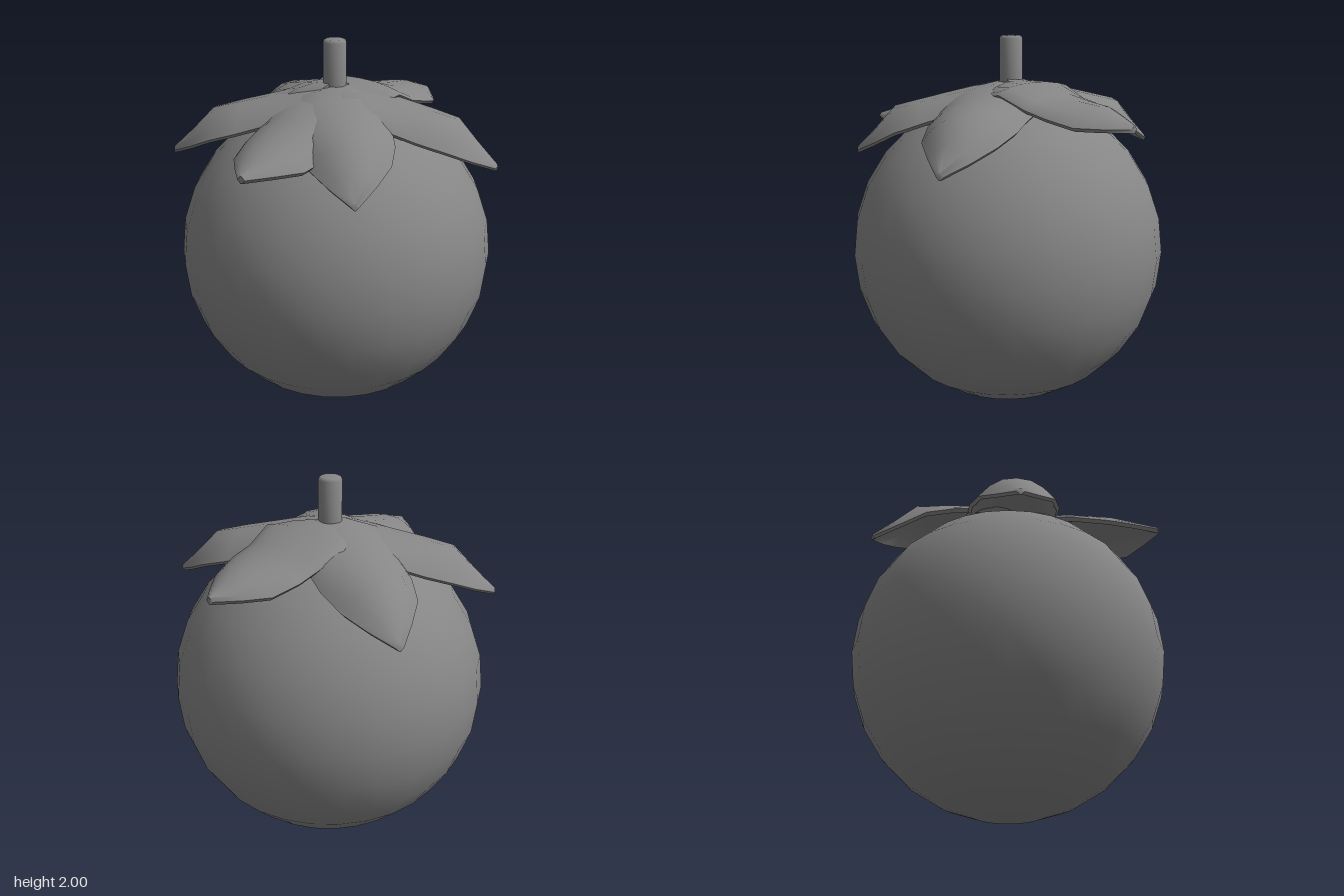
import * as THREE from 'three';
import { toCreasedNormals } from 'three/addons/utils/BufferGeometryUtils.js';

const material = new THREE.MeshStandardMaterial({ color: 0x868686 });

// Leaf outline: distance from the stem and half width at each station
const along = [-0.02, 0.08, 0.2, 0.36, 0.49, 0.64, 0.75, 0.86];
const half = [0.12, 0.25, 0.27, 0.245, 0.24, 0.2, 0.115, 0.02];

// Heights of the midrib and of the rims at each station
const drooping = {
  mid: [1.77, 1.755, 1.735, 1.7, 1.67, 1.635, 1.52, 1.415],
  rim: [1.72, 1.71, 1.67, 1.62, 1.58, 1.53, 1.47, 1.415],
};
const raised = {
  mid: [1.76, 1.77, 1.765, 1.715, 1.69, 1.675, 1.64, 1.6],
  rim: [1.72, 1.715, 1.735, 1.67, 1.64, 1.605, 1.6, 1.6],
};
const low = {
  mid: [1.7, 1.72, 1.725, 1.68, 1.645, 1.61, 1.57, 1.535],
  rim: [1.65, 1.65, 1.65, 1.6, 1.565, 1.535, 1.535, 1.535],
};

// Closed thick leaf with a rounded rim, from cross-section loops; the tip points at (x, z)
function leafGeometry(x, z, { mid, rim }, lift) {
  const length = Math.hypot(x, z);
  const dx = x / length, dz = z / length, stretch = length / 0.86;
  const across = [-1, -0.75, -0.4, 0, 0.4, 0.75, 1];
  const thickness = 0.036, inset = 0.016;
  const ring = 2 * across.length + 2, rows = along.length;
  const positions = [], index = [];
  along.forEach((a, row) => {
    const put = (u, width, drop) => {
      const s = a * stretch, w = u * width;
      const y = mid[row] + (rim[row] - mid[row]) * Math.abs(u) ** 2.4 + lift - drop;
      positions.push(dx * s - dz * w, y, dz * s + dx * w);
    };
    const face = half[row] - inset;
    across.forEach((u) => put(u, face, 0));
    put(1, half[row], thickness / 2);
    [...across].reverse().forEach((u) => put(u, face, thickness));
    put(-1, half[row], thickness / 2);
  });
  for (let r = 0; r < rows - 1; r++) {
    for (let i = 0; i < ring; i++) {
      const a = r * ring + i, b = r * ring + (i + 1) % ring;
      index.push(a, b, a + ring, b, b + ring, a + ring);
    }
  }
  // End caps
  const last = (rows - 1) * ring;
  for (let i = 1; i < ring - 1; i++) {
    index.push(0, i + 1, i, last, last + i, last + i + 1);
  }
  const geometry = new THREE.BufferGeometry();
  geometry.setAttribute('position', new THREE.Float32BufferAttribute(positions, 3));
  geometry.setIndex(index);
  return toCreasedNormals(geometry, 1.0);
}

export function createModel() {
  const model = new THREE.Group();
  const add = (name, geometry, parent = model) => {
    const mesh = new THREE.Mesh(geometry, material);
    mesh.name = name;
    parent.add(mesh);
    return mesh;
  };

  // Round fruit body
  add('fruit', new THREE.SphereGeometry(0.848, 28, 14)).position.y = 0.852;

  // Six overlapping leaves: tip x, tip z, shape, height offset
  const leaves = new THREE.Group();
  leaves.name = 'leaves';
  model.add(leaves);
  [
    [-0.08, -0.83, raised, 0],
    [0.76, -0.41, drooping, 0],
    [0.64, 0.495, drooping, 0],
    [0.26, 0.845, low, 0],
    [-0.645, 0.595, drooping, -0.003],
    [-0.785, -0.29, drooping, 0.015],
  ].forEach(([x, z, shape, lift], i) => add(`leaf${i + 1}`, leafGeometry(x, z, shape, lift), leaves));

  // Stem with a softly rounded top
  const profile = [[0, 1.66], [0.062, 1.66], [0.062, 1.984], [0.057, 1.995], [0.047, 2], [0, 2]];
  const stem = new THREE.LatheGeometry(profile.map(([r, y]) => new THREE.Vector2(r, y)), 20);
  add('stem', toCreasedNormals(stem, 0.8)).position.set(-0.017, 0, -0.007);

  return model;
}
